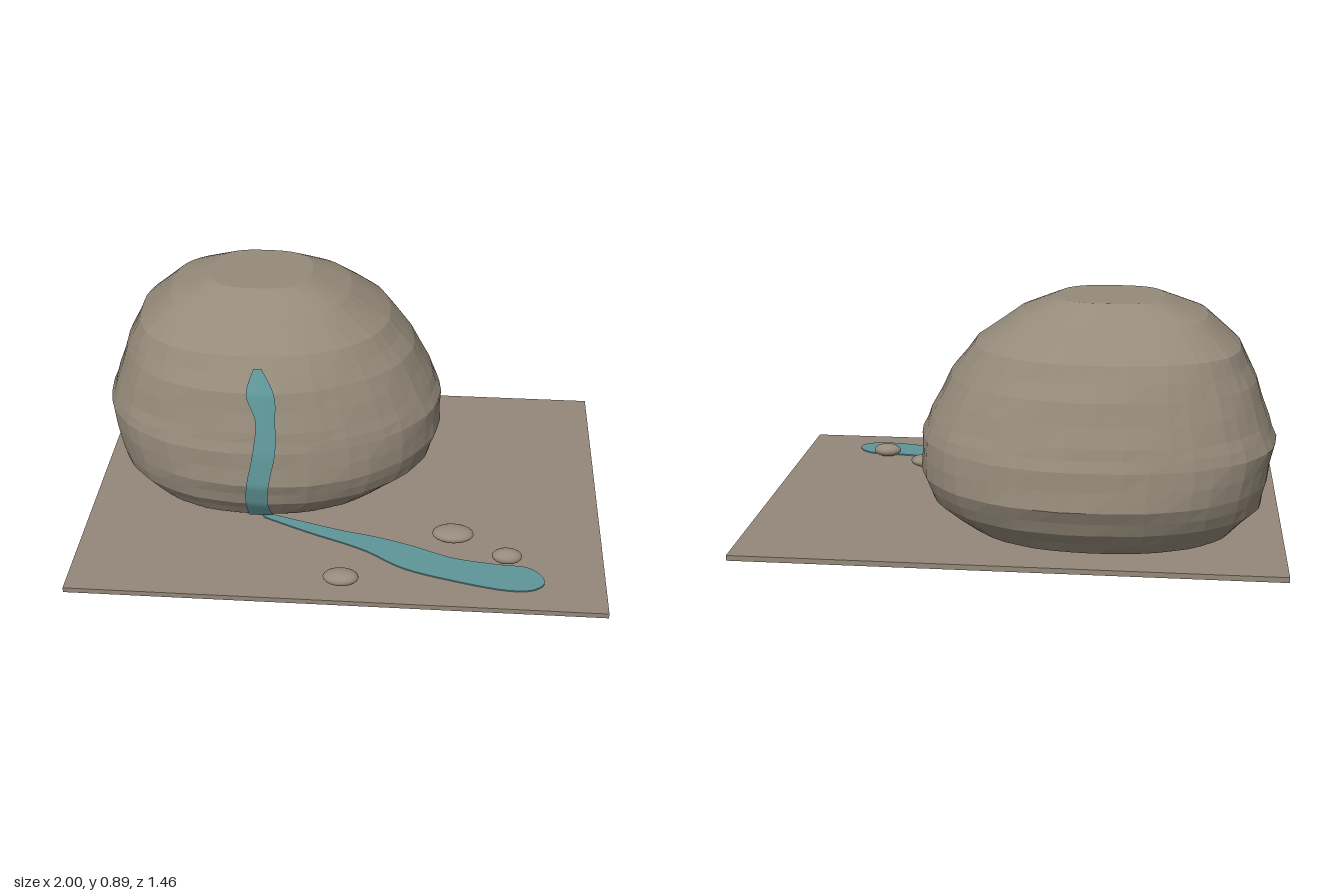
import * as THREE from 'three';

// Boulder rings: height, then left, right, back and front limits
const RINGS = [
  [0.035, -0.83, 0.2, -0.61, 0.235],
  [0.13, -0.92, 0.325, -0.685, 0.3],
  [0.23, -0.94, 0.36, -0.73, 0.328],
  [0.37, -0.965, 0.36, -0.715, 0.315],
  [0.45, -0.935, 0.325, -0.69, 0.295],
  [0.6, -0.885, 0.25, -0.64, 0.255],
  [0.72, -0.825, 0.155, -0.58, 0.185],
  [0.83, -0.7, 0, -0.46, 0.08],
  [0.893, -0.54, -0.15, -0.36, -0.03],
];

// Centre and radii of the boulder at a height
function ringAt(y) {
  let k = 0;
  while (k < RINGS.length - 2 && y > RINGS[k + 1][0]) k++;
  const lo = RINGS[k], hi = RINGS[k + 1];
  const t = THREE.MathUtils.clamp((y - lo[0]) / (hi[0] - lo[0]), 0, 1);
  const [, x0, x1, z0, z1] = lo.map((v, i) => v + (hi[i] - v) * t);
  return { cx: (x0 + x1) / 2, a: (x1 - x0) / 2, cz: (z0 + z1) / 2, b: (z1 - z0) / 2 };
}

// Each quarter of the outline has its own squareness, and the top is squarer
function power(c, s, y) {
  const base = s > 0 ? (c > 0 ? 1.95 : 2.4) : (c > 0 ? 2.2 : 2.3);
  return base + 0.5 * THREE.MathUtils.smoothstep(y, 0.6, 0.9);
}

function boulderPoint(angle, y) {
  const { cx, a, cz, b } = ringAt(y);
  const c = Math.cos(angle), s = Math.sin(angle);
  const e = 2 / power(c, s, y);
  // gentle uneven chiselling, fading out at the flat top
  const rough = 1 + 0.007 * Math.sin(angle * 7 + y * 23) * Math.sin(angle * 11 - y * 31)
    * (1 - THREE.MathUtils.smoothstep(y, 0.7, 0.89));
  return [
    cx + a * rough * Math.sign(c) * Math.abs(c) ** e, y,
    cz + b * rough * Math.sign(s) * Math.abs(s) ** e,
  ];
}

// Depth of the boulder's front face at x, y
function frontZ(x, y) {
  const { cx, a, cz, b } = ringAt(y);
  const u = (x - cx) / a;
  const n = power(u, 1, y);
  return cz + b * (1 - Math.abs(u) ** n) ** (1 / n);
}

function boulderGeometry() {
  const SEG = 48, heights = [];
  RINGS.forEach(([y], k) => {
    heights.push(y);
    if (k < RINGS.length - 1) heights.push((y + RINGS[k + 1][0]) / 2);
  });
  const pos = [], idx = [];
  for (const y of heights)
    for (let i = 0; i < SEG; i++) pos.push(...boulderPoint((i / SEG) * Math.PI * 2, y));
  const last = (heights.length - 1) * SEG;
  const bottom = pos.length / 3, top = bottom + 1;
  pos.push(-0.315, heights[0], -0.19, -0.345, 0.893, -0.195);
  for (let i = 0; i < SEG; i++) {
    const n = (i + 1) % SEG;
    for (let r = 0; r < last; r += SEG)
      idx.push(r + i, r + SEG + i, r + n, r + n, r + SEG + i, r + SEG + n);
    idx.push(bottom, i, n, top, last + n, last + i);
  }
  return facet(pos, idx);
}

function indexed(pos, idx) {
  const g = new THREE.BufferGeometry();
  g.setAttribute('position', new THREE.Float32BufferAttribute(pos, 3));
  g.setIndex(idx);
  g.computeVertexNormals();
  return g;
}

function facet(pos, idx) {
  const g = indexed(pos, idx).toNonIndexed();
  g.computeVertexNormals();
  return g;
}

// Ribbon of water lying on the front of the boulder
function trickleGeometry() {
  const curve = (pts) => new THREE.SplineCurve(pts.map(([x, y]) => new THREE.Vector2(x, y)));
  const left = curve([[-0.37, 0.037], [-0.37, 0.15], [-0.36, 0.25], [-0.335, 0.38],
    [-0.325, 0.5], [-0.36, 0.6], [-0.335, 0.685]]);
  const right = curve([[-0.275, 0.037], [-0.285, 0.15], [-0.275, 0.25], [-0.25, 0.38],
    [-0.25, 0.5], [-0.255, 0.6], [-0.305, 0.685]]);
  const ROWS = 36, COLS = 4, pos = [], idx = [];
  for (let r = 0; r <= ROWS; r++) {
    const l = left.getPoint(r / ROWS), q = right.getPoint(r / ROWS);
    for (let c = 0; c <= COLS; c++) {
      const p = l.clone().lerp(q, c / COLS);
      pos.push(p.x, p.y, frontZ(p.x, p.y) + 0.009);
      if (r < ROWS && c < COLS) {
        const k = r * (COLS + 1) + c, up = k + COLS + 1;
        idx.push(k, k + 1, up, k + 1, up + 1, up);
      }
    }
  }
  return indexed(pos, idx);
}

// Flat stream, drawn as x, z and laid on the ground
function streamGeometry() {
  const bank = [[-0.2, 0.245], [0, 0.305], [0.13, 0.335], [0.27, 0.38], [0.43, 0.445], [0.59, 0.472],
    [0.72, 0.487], [0.775, 0.56], [0.73, 0.615], [0.62, 0.622], [0.43, 0.58],
    [0.245, 0.52], [0.085, 0.417], [-0.13, 0.325], [-0.31, 0.24]];
  const shape = new THREE.Shape();
  shape.moveTo(-0.33, 0.205);
  shape.splineThru(bank.map(([x, z]) => new THREE.Vector2(x, z)));
  shape.closePath();
  const g = new THREE.ExtrudeGeometry(shape, { depth: 0.005, bevelEnabled: false, curveSegments: 4 });
  g.rotateX(Math.PI / 2);
  g.translate(0, 0.025, 0);
  return g;
}

export function createModel() {
  const model = new THREE.Group();
  model.name = 'boulderWithSpring';
  const material = (name, color) => {
    const m = new THREE.MeshStandardMaterial({ color });
    m.name = name;
    return m;
  };
  const stone = material('stone', 0x968b7b);
  const earth = material('earth', 0x94887a);
  const water = material('water', 0x5f9698);
  water.side = THREE.DoubleSide;

  const add = (name, geometry, mat) => {
    const mesh = new THREE.Mesh(geometry, mat);
    mesh.name = name;
    model.add(mesh);
    return mesh;
  };

  add('ground', new THREE.BoxGeometry(2, 0.02, 1.45), earth).position.y = 0.01;
  add('boulder', boulderGeometry(), stone);
  add('trickle', trickleGeometry(), water);
  add('stream', streamGeometry(), water);

  // Pebbles: x, z and half sizes
  [[0.43, 0.325, 0.08, 0.052], [0.635, 0.45, 0.057, 0.037], [0.02, 0.62, 0.067, 0.044]]
    .forEach(([x, z, rx, rz], i) => {
      const pebble = add('pebble' + (i + 1), new THREE.SphereGeometry(1, 20, 12), stone);
      pebble.position.set(x, 0.049, z);
      pebble.scale.set(rx, 0.027, rz);
    });
  return model;
}
